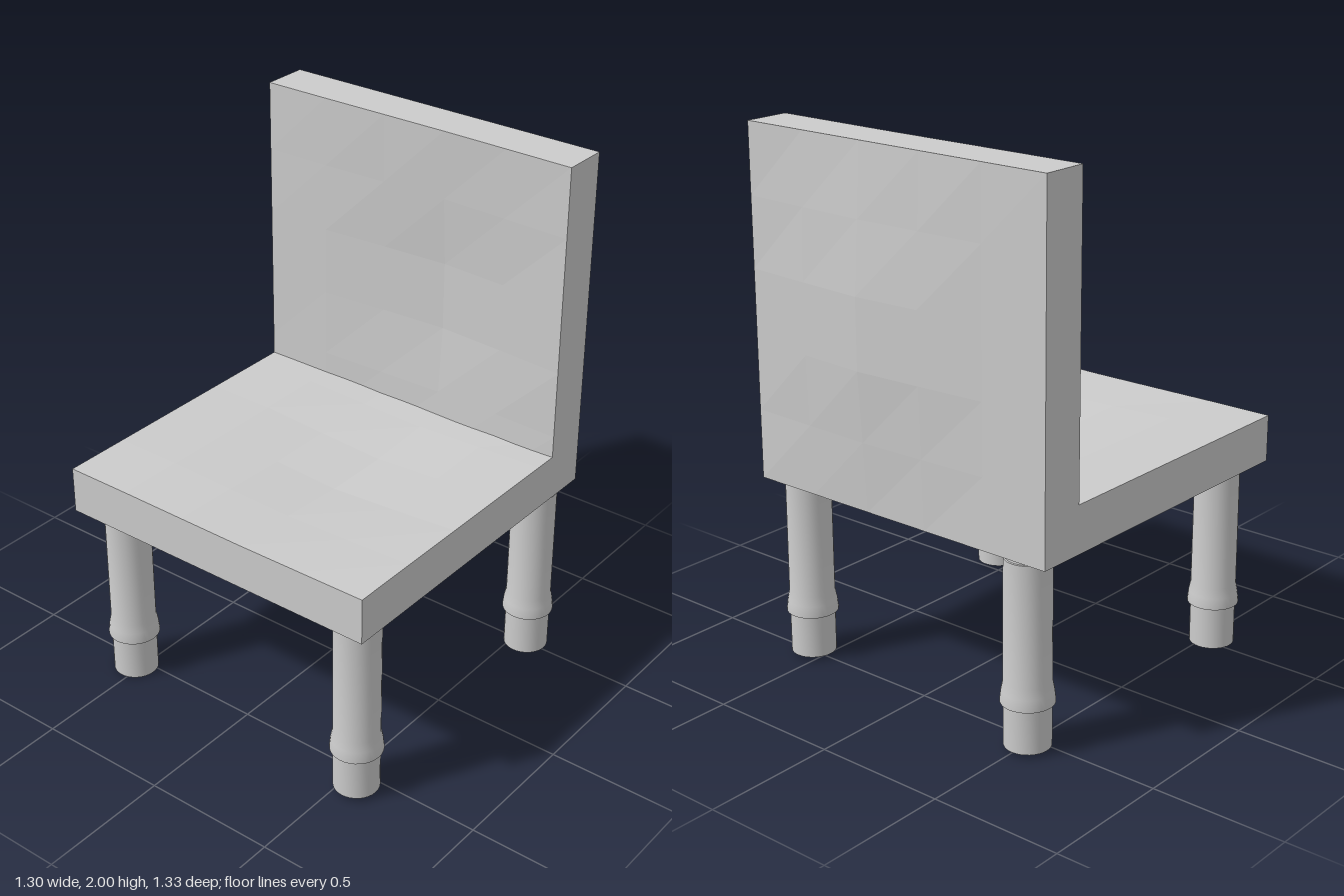
import * as THREE from 'three';
import { toCreasedNormals } from 'three/addons/utils/BufferGeometryUtils.js';

const flatGrey = new THREE.MeshStandardMaterial({ color: 0xcccccc, flatShading: true });
const smoothGrey = new THREE.MeshStandardMaterial({ color: 0xcccccc });

const CELLS = 5;
const DEPTH = 0.035;
const ACROSS = [0, 0.08, 0.58, 1, 0.55, 0]; // sag is off-centre, towards +x
const ALONG = [0, 0.5, 1, 1, 0.5, 0];

// A cushion slab lying in XZ: dished on its upper face, bulging below
function sagSlab(width, thickness, length) {
  const geo = new THREE.BoxGeometry(width, thickness, length, CELLS, 1, CELLS);
  const p = geo.attributes.position;
  for (let i = 0; i < p.count; i++) {
    const u = Math.round((p.getX(i) / width + 0.5) * CELLS);
    const v = Math.round((p.getZ(i) / length + 0.5) * CELLS);
    // the upper rim dips very slightly, the lower rim stays straight
    const rim = p.getY(i) > 0 ? 0.12 : 0;
    const along = Math.max(ALONG[v], rim);
    p.setY(i, p.getY(i) - DEPTH * ACROSS[u] * along);
  }
  geo.computeVertexNormals();
  return geo;
}

// Turned leg with a flared collar near the foot
function legGeometry() {
  const profile = [
    [0, 0], [0.083, 0], [0.083, 0.16], [0.095, 0.162], [0.095, 0.17],
    [0.091, 0.205], [0.084, 0.24], [0.083, 0.685], [0.077, 0.686], [0.077, 0.72], [0, 0.72],
  ].map(([r, y]) => new THREE.Vector2(r, y));
  return toCreasedNormals(new THREE.LatheGeometry(profile, 32), 0.6);
}

export function createModel() {
  const group = new THREE.Group();
  group.name = 'chair';

  const seat = new THREE.Mesh(sagSlab(1.295, 0.175, 1.285), flatGrey);
  seat.name = 'seat';
  seat.position.set(-0.002, 0.7975, 0.0225);
  group.add(seat);

  // Backrest: the same slab stood upright, dished face to the front
  const back = new THREE.Mesh(sagSlab(1.295, 0.175, 1.29), flatGrey);
  back.name = 'backrest';
  back.rotation.x = Math.PI / 2;
  back.position.set(-0.002, 1.355, -0.5425);
  group.add(back);

  // Legs stand slightly unevenly
  const leg = legGeometry();
  const spots = {
    frontRightLeg: [-0.525, 0, 0.53],
    frontLeftLeg: [0.555, 0.017, 0.568],
    backRightLeg: [-0.513, 0.013, -0.547],
    backLeftLeg: [0.555, 0.013, -0.496],
  };
  for (const [name, spot] of Object.entries(spots)) {
    const mesh = new THREE.Mesh(leg, smoothGrey);
    mesh.name = name;
    mesh.position.set(...spot);
    group.add(mesh);
  }
  return group;
}
